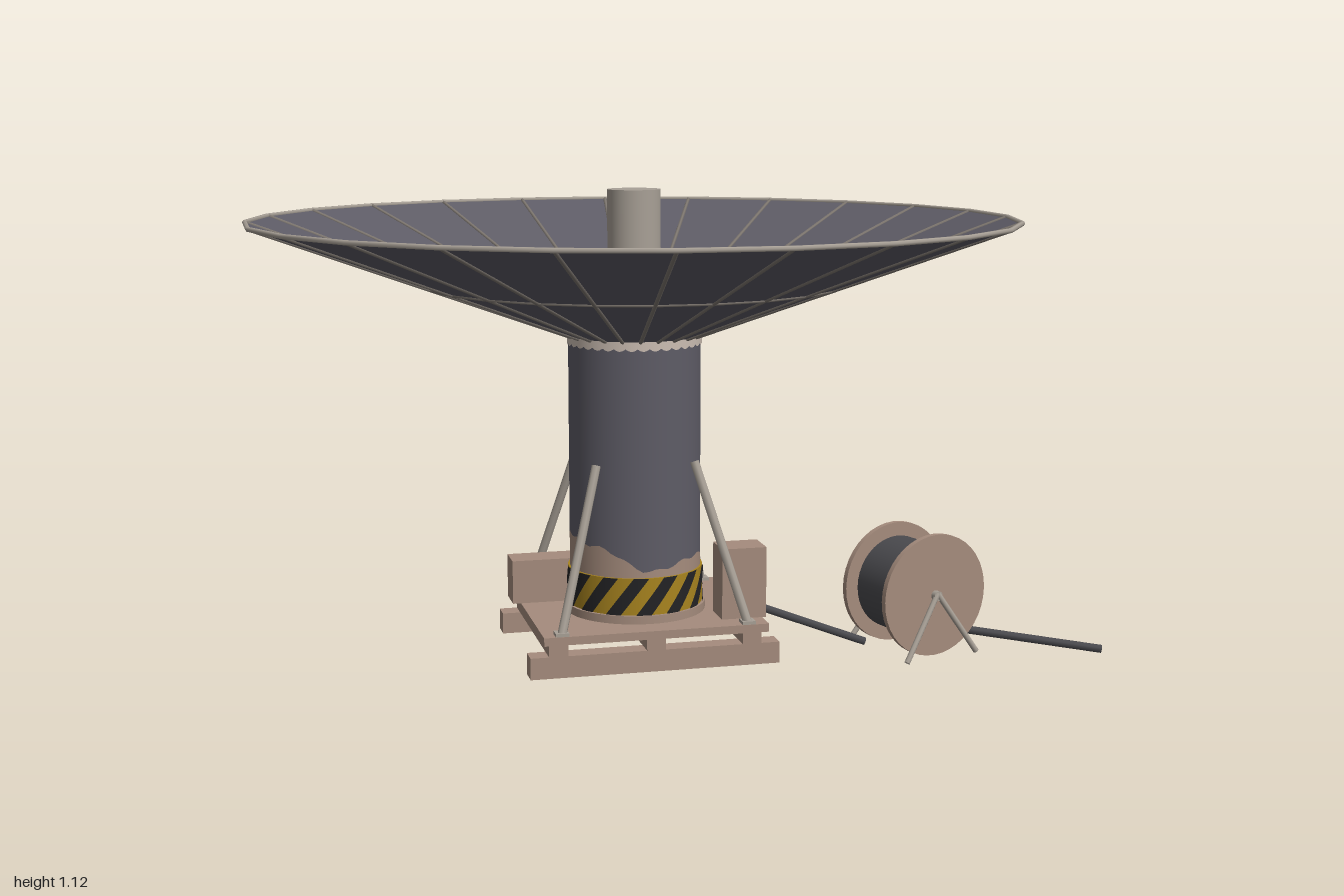
import * as THREE from 'three';

const mat = (name, color, side = THREE.FrontSide) => {
  const m = new THREE.MeshStandardMaterial({ color, side });
  m.name = name;
  return m;
};

export function createModel() {
  const root = new THREE.Group();
  root.name = 'dishStation';
  const M = {
    dark: mat('slateGrey', 0x5e5c66, THREE.DoubleSide),
    tan: mat('dustyTan', 0xa58c7d),
    pale: mat('paleCap', 0xcbbdb2),
    metal: mat('bareMetal', 0xa8a096),
    rib: mat('ribGrey', 0x7d766f),
    yellow: mat('hazardYellow', 0xa8841f),
    black: mat('hazardBlack', 0x232325),
    cable: mat('cableGrey', 0x4a4a4e),
  };
  const V = (x, y, z) => new THREE.Vector3(x, y, z);
  const add = (parent, name, geo, material, x = 0, y = 0, z = 0) => {
    const m = new THREE.Mesh(geo, material);
    m.name = name;
    m.position.set(x, y, z);
    parent.add(m);
    return m;
  };
  // box given by its lower and upper corners
  const box = (parent, name, material, a, b) => add(parent, name,
    new THREE.BoxGeometry(b[0] - a[0], b[1] - a[1], b[2] - a[2]), material,
    (a[0] + b[0]) / 2, (a[1] + b[1]) / 2, (a[2] + b[2]) / 2);
  // straight round bar between two points
  const bar = (parent, name, material, a, b, r, sides = 8) => {
    const d = b.clone().sub(a);
    const m = add(parent, name, new THREE.CylinderGeometry(r, r, d.length(), sides), material);
    m.position.copy(a).add(b).multiplyScalar(0.5);
    m.quaternion.setFromUnitVectors(V(0, 1, 0), d.normalize());
    return m;
  };
  // open cylinder whose lower and upper edges follow functions of the angle
  const band = (r, low, high, segs = 64) => {
    const g = new THREE.CylinderGeometry(r, r, 1, segs, 1, true);
    const p = g.attributes.position;
    for (let i = 0; i < p.count; i++) {
      const t = Math.atan2(p.getX(i), p.getZ(i));
      p.setY(i, p.getY(i) > 0 ? high(t) : low(t));
    }
    return g;
  };

  const station = new THREE.Group();
  station.name = 'station';
  station.position.x = -0.09;
  root.add(station);

  // Pallet: two skids, three cross beams, deck
  const pallet = new THREE.Group();
  pallet.name = 'pallet';
  station.add(pallet);
  for (const z of [-0.205, 0.205]) box(pallet, 'skid', M.tan, [-0.302, 0, z - 0.025], [0.303, 0.052, z + 0.025]);
  for (const x of [-0.235, 0, 0.235]) box(pallet, 'crossBeam', M.tan, [x - 0.023, 0.052, -0.23], [x + 0.023, 0.08, 0.23]);
  box(pallet, 'deck', M.tan, [-0.27, 0.08, -0.235], [0.275, 0.1, 0.235]);

  // Tower with a wavy dust line
  const wave = [0.225, 0.245, 0.245, 0.285, 0.28, 0.25, 0.295, 0.28];
  const dustLine = (t) => {
    const u = ((t / (2 * Math.PI) + 1) % 1) * 8;
    const i = Math.floor(u) % 8, f = u - Math.floor(u), s = f * f * (3 - 2 * f);
    return wave[i] * (1 - s) + wave[(i + 1) % 8] * s + 0.004 * Math.sin(14 * t);
  };
  add(station, 'towerUpper', band(0.16, dustLine, () => 0.775), M.dark);
  add(station, 'towerDust', band(0.16, () => 0.1, dustLine), M.tan);
  add(station, 'baseRing', new THREE.CylinderGeometry(0.172, 0.172, 0.02, 48), M.tan, 0, 0.11, 0);
  add(station, 'collar', band(0.163, (t) => 0.76 - 0.006 * Math.abs(Math.sin(18 * t)), () => 0.777, 144), M.pale);

  // Hazard band: yellow sleeve with slanted black strips
  add(station, 'hazardBand', new THREE.CylinderGeometry(0.165, 0.165, 0.09, 48), M.yellow, 0, 0.165, 0);
  const strips = 14;
  for (let k = 0; k < strips; k++) {
    const g = new THREE.CylinderGeometry(0.1672, 0.1672, 0.09, 4, 6, true, 0, Math.PI / strips);
    const p = g.attributes.position, n = g.attributes.normal;
    for (let i = 0; i < p.count; i++) {
      const turn = p.getY(i) * 4.6 + k * 2 * Math.PI / strips;
      const t = Math.atan2(p.getX(i), p.getZ(i)) + turn;
      p.setXYZ(i, 0.1672 * Math.sin(t), p.getY(i), 0.1672 * Math.cos(t));
      n.setXYZ(i, Math.sin(t), 0, Math.cos(t));
    }
    add(station, 'hazardStripe', g, M.black, 0, 0.165, 0);
  }

  // Corner struts
  for (const sx of [-1, 1]) for (const sz of [-1, 1]) {
    bar(station, 'strut', M.metal, V(sx * 0.12, 0.48, sz * 0.118), V(sx * 0.226, 0.1, sz * 0.222), 0.011);
    box(station, 'strutFoot', M.metal, [sx * 0.226 - 0.016, 0.1, sz * 0.218 - 0.016], [sx * 0.226 + 0.016, 0.108, sz * 0.218 + 0.016]);
  }

  // Equipment boxes
  box(station, 'tallBox', M.tan, [0.175, 0.1, 0.09], [0.285, 0.273, 0.175]);
  box(station, 'boxKnob', M.metal, [0.285, 0.235, 0.125], [0.291, 0.25, 0.14]);
  box(station, 'lowBox', M.tan, [-0.29, 0.1, -0.17], [-0.11, 0.208, -0.09]);

  // Dish: faceted shallow cone with ribs on the facet edges
  const dish = new THREE.Group();
  dish.name = 'dish';
  station.add(dish);
  const R = 0.915, rimY = 1.052, r0 = 0.15, y0 = 0.772, N = 24;
  const dishY = (r) => y0 + (rimY - y0) * (r - r0) / (R - r0);
  const profile = [[0.001, y0], [r0, y0], [0.5, dishY(0.5)], [R, rimY]].map((p) => new THREE.Vector2(...p));
  const shell = new THREE.LatheGeometry(profile, N, Math.PI / N).toNonIndexed();
  shell.computeVertexNormals();
  add(dish, 'dishShell', shell, M.dark);
  for (let i = 0; i < N; i++) {
    const t = (i + 0.5) * 2 * Math.PI / N, s = Math.sin(t), c = Math.cos(t);
    bar(dish, 'rib', M.rib, V(r0 * s, y0, r0 * c), V(R * s, rimY, R * c), 0.005, 6);
  }
  const ring = (name, r, y, tube, material) => {
    const m = add(dish, name, new THREE.TorusGeometry(r, tube, 6, N), material, 0, y, 0);
    m.rotation.set(Math.PI / 2, 0, Math.PI / N);
  };
  ring('middleRing', 0.5, dishY(0.5), 0.0045, M.rib);
  ring('rimRing', R, rimY, 0.006, M.metal);

  // Hub dome and central feed
  const dome = new THREE.SphereGeometry(0.14, 24, 8, 0, Math.PI * 2, 0, Math.PI / 2);
  dome.scale(1, 0.22, 1);
  add(dish, 'hubDome', dome, M.pale, 0, 0.785, 0);
  add(dish, 'hubSkirt', new THREE.CylinderGeometry(0.14, 0.14, 0.02, 24), M.pale, 0, 0.776, 0);
  add(dish, 'feedColumn', new THREE.CylinderGeometry(0.064, 0.064, 0.335, 32), M.metal, 0, 0.957, 0);

  // Cable drum, its axis turned a little from the front
  const drum = new THREE.Group();
  drum.name = 'cableDrum';
  drum.position.set(0.563, 0.157, 0.2);
  drum.rotation.y = 0.285;
  root.add(drum);
  const disc = (name, r, h, z, material) => {
    add(drum, name, new THREE.CylinderGeometry(r, r, h, 40), material, 0, 0, z).rotation.x = Math.PI / 2;
  };
  disc('woundCable', 0.115, 0.15, 0, M.cable);
  disc('axle', 0.012, 0.2, 0, M.metal);
  for (const s of [-1, 1]) {
    disc('flange', 0.149, 0.014, s * 0.08, M.tan);
    for (const k of [-1, 1])
      bar(drum, 'drumLeg', M.metal, V(0, 0.006, s * 0.096), V(k * 0.104, -0.146, s * 0.118), 0.007);
  }

  // Loose cables
  bar(root, 'feedCable', M.cable, V(0.19, 0.115, 0.13), V(0.45, 0.02, 0.17), 0.01);
  bar(root, 'looseCable', M.cable, V(0.64, 0.06, 0.225), V(0.998, 0.012, 0.345), 0.01);
  return root;
}
